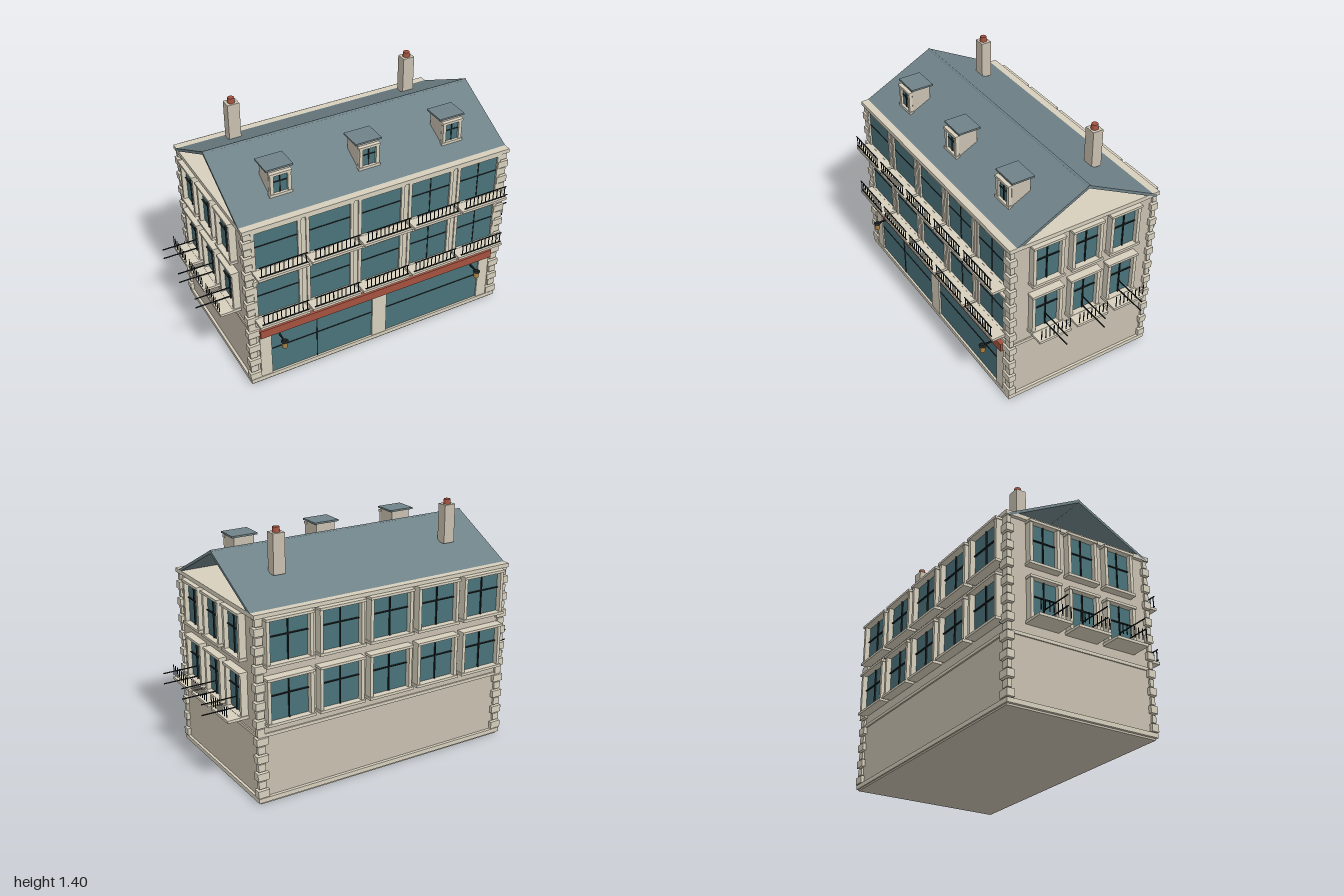
import * as THREE from 'three';

const mat = (color, side = THREE.FrontSide) => new THREE.MeshStandardMaterial({ color, side });
const M = {
  wall: mat(0xc8bfae), trim: mat(0xd6cfbd), glass: mat(0x4a737a), iron: mat(0x1c2224),
  roof: mat(0x6f8288, THREE.DoubleSide), red: mat(0xa5523f), brass: mat(0xb08a4a),
};
const CZ = -0.02; // depth centre of the building
const WX = 0.78, WZ = 0.435; // half sizes of the walls

function add(parent, name, geo, material, x = 0, y = 0, z = 0) {
  const m = new THREE.Mesh(geo, material);
  m.name = name;
  m.position.set(x, y, z);
  parent.add(m);
  return m;
}

// box given by its min and max corners
function box(parent, name, material, x0, x1, y0, y1, z0, z1) {
  return add(parent, name, new THREE.BoxGeometry(x1 - x0, y1 - y0, z1 - z0), material,
    (x0 + x1) / 2, (y0 + y1) / 2, (z0 + z1) / 2);
}

function group(parent, name, x, y, z, ry = 0) {
  const g = new THREE.Group();
  g.name = name;
  g.position.set(x, y, z);
  g.rotation.y = ry;
  parent.add(g);
  return g;
}

// Framed window; local origin at the bottom of the glass on the wall, +z outwards
function windowUnit(parent, x, y, z, ry, w, h, depth, mullion = true) {
  const g = group(parent, 'window', x, y, z, ry);
  const a = w / 2, f = 0.019;
  box(g, 'glass', M.glass, -a, a, 0, h, -0.005, depth * 0.3);
  for (const s of [-1, 1]) {
    const e = s * (a + f / 2);
    box(g, 'jamb', M.trim, e - f / 2, e + f / 2, 0, h, -0.005, depth * 0.85);
  }
  box(g, 'lintel', M.trim, -a - 0.023, a + 0.023, h, h + 0.014, -0.005, depth);
  box(g, 'sill', M.trim, -a - 0.025, a + 0.025, -0.015, 0, -0.005, depth);
  box(g, 'transom', M.iron, -a, a, h * 0.6 - 0.003, h * 0.6 + 0.003, 0, depth * 0.45);
  if (mullion) box(g, 'mullion', M.iron, -0.003, 0.003, 0, h, 0, depth * 0.45);
  return g;
}

// Balcony slab with railing; rails can be turned outwards from the wall
function balcony(parent, x, y, z, ry, w, reach, turned) {
  const g = group(parent, 'balcony', x, y, z, ry);
  box(g, 'balconySlab', M.trim, -w / 2, w / 2, -0.015, 0, 0, reach);
  const r = w / 2 - (turned ? 0 : 0.01), bar = 0.002;
  for (const ry2 of [0.017, 0.077]) {
    const rail = add(g, 'rail', new THREE.BoxGeometry(2 * r, 0.005, 0.005), M.iron, 0, ry2, reach);
    if (turned) rail.rotation.y = Math.PI / 2;
  }
  const n = turned ? 8 : 11;
  for (let i = 0; i < n; i++) {
    const bx = -r + 0.01 + (2 * r - 0.02) * i / (n - 1);
    box(g, 'baluster', M.iron, bx - bar, bx + bar, 0.015, 0.077, reach - bar, reach + bar);
  }
}

export function createModel() {
  const root = new THREE.Group();
  root.name = 'townHouse';
  const zF = CZ + WZ, zB = CZ - WZ;

  // walls, plinth, string course and cornice
  box(root, 'walls', M.wall, -WX, WX, 0.005, 1.03, zB, zF);
  box(root, 'plinth', M.trim, -0.795, 0.795, 0.01, 0.035, zB - 0.018, zF + 0.018);
  box(root, 'baseSlab', M.wall, -0.78, 0.78, 0, 0.012, zB - 0.01, zF + 0.01);
  box(root, 'stringCourse', M.trim, -0.787, 0.787, 0.375, 0.393, zB - 0.008, zF + 0.008);
  box(root, 'cornice', M.trim, -0.8, 0.8, 1.022, 1.045, zB - 0.022, zF + 0.022);

  // corner quoins, alternating long and short
  for (const sx of [-1, 1]) for (const sz of [-1, 1]) {
    for (let i = 0; i < 20; i++) {
      const long = i % 2 === 0;
      const w = long ? 0.065 : 0.042, d = long ? 0.043 : 0.025;
      const ox = long ? 0.8 : 0.792, oz = long ? 0.455 : 0.448;
      add(root, 'quoin', new THREE.BoxGeometry(w, 0.041, d), M.trim,
        sx * (ox - w / 2), 0.06 + i * 0.0495, CZ + sz * (oz - d / 2));
    }
  }

  // upper floors: five bays front and back, three bays each side
  const rows = [0.462, 0.78];
  rows.forEach((y, row) => {
    for (let i = 0; i < 5; i++) {
      const x = (i - 2) * 0.306;
      windowUnit(root, x, y, zF, 0, 0.24, 0.23, 0.018, i > 2);
      balcony(root, x, y - 0.001, zF + 0.005, 0, 0.29, 0.09, false);
      windowUnit(root, x, y, zB, Math.PI, 0.23, 0.23, 0.055);
    }
    for (let i = -1; i <= 1; i++) for (const s of [-1, 1]) {
      const z = CZ + i * 0.236;
      windowUnit(root, s * WX, y, z, s * Math.PI / 2, 0.147, 0.227, 0.046);
      if (row === 0) balcony(root, s * WX, y - 0.002, z, s * Math.PI / 2, 0.197, 0.12, true);
    }
  });
  // pilaster strips between the front bays
  for (let i = 0; i < 4; i++) {
    const x = (i - 1.5) * 0.306;
    box(root, 'pilaster', M.trim, x - 0.017, x + 0.017, 0.4, 1.022, zF - 0.005, zF + 0.008);
  }

  // shop front
  const shop = group(root, 'shopFront', 0, 0, zF);
  box(shop, 'shopHeader', M.trim, -0.73, 0.73, 0.325, 0.372, 0, 0.012);
  box(shop, 'shopPillar', M.trim, -0.045, 0.045, 0.03, 0.33, 0, 0.016);
  for (const s of [-1, 1]) {
    const c = s * 0.356;
    box(shop, 'shopGlass', M.glass, c - 0.311, c + 0.311, 0.035, 0.33, -0.005, 0.006);
    box(shop, 'shopTransom', M.iron, c - 0.311, c + 0.311, 0.202, 0.208, 0, 0.009);
    box(shop, 'shopJamb', M.trim, s * 0.7 - 0.033, s * 0.7 + 0.033, 0.03, 0.33, 0, 0.014);
    // wall lantern
    const l = group(shop, 'lantern', s * 0.615, 0, 0.07);
    box(l, 'lanternBracket', M.iron, -0.004, 0.004, 0.286, 0.294, -0.07, 0);
    add(l, 'lanternBody', new THREE.CylinderGeometry(0.018, 0.014, 0.042, 8), M.brass, 0, 0.268, 0);
    add(l, 'lanternCap', new THREE.CylinderGeometry(0.012, 0.022, 0.008, 8), M.iron, 0, 0.293, 0);
  }
  box(shop, 'shopMullion', M.iron, -0.392, -0.386, 0.035, 0.33, 0, 0.009);
  box(shop, 'signBoard', M.red, -0.735, 0.735, 0.325, 0.375, 0.01, 0.034);

  // open-ended gable roof: two thin slabs and a ridge bar
  const run = 0.437, rise = 0.225, len = Math.hypot(run, rise);
  for (const s of [-1, 1]) {
    const slab = add(root, 'roofSlope', new THREE.BoxGeometry(1.6, 0.015, len), M.roof,
      0, 1.025 + rise / 2, CZ + s * run / 2);
    slab.rotation.x = s * Math.atan2(rise, run);
  }
  const ridge = add(root, 'ridge', new THREE.CylinderGeometry(0.01, 0.01, 1.6, 8), M.roof, 0, 1.25, CZ);
  ridge.rotation.z = Math.PI / 2;

  // dormers on the front slope
  for (const x of [-0.515, -0.003, 0.51]) {
    const d = group(root, 'dormer', x, 0, 0);
    box(d, 'dormerBody', M.wall, -0.06, 0.06, 1.07, 1.246, 0.17, 0.28);
    box(d, 'dormerCap', M.roof, -0.077, 0.077, 1.245, 1.255, 0.157, 0.288);
    windowUnit(d, 0, 1.11, 0.28, 0, 0.08, 0.108, 0.022);
  }

  // chimneys on the back slope
  for (const x of [-0.54, 0.535]) {
    const c = group(root, 'chimney', x, 0, -0.235);
    box(c, 'chimneyStack', M.wall, -0.034, 0.034, 1.15, 1.368, -0.03, 0.03);
    add(c, 'chimneyPot', new THREE.CylinderGeometry(0.018, 0.021, 0.03, 12), M.red, 0, 1.381, 0);
  }
  return root;
}
